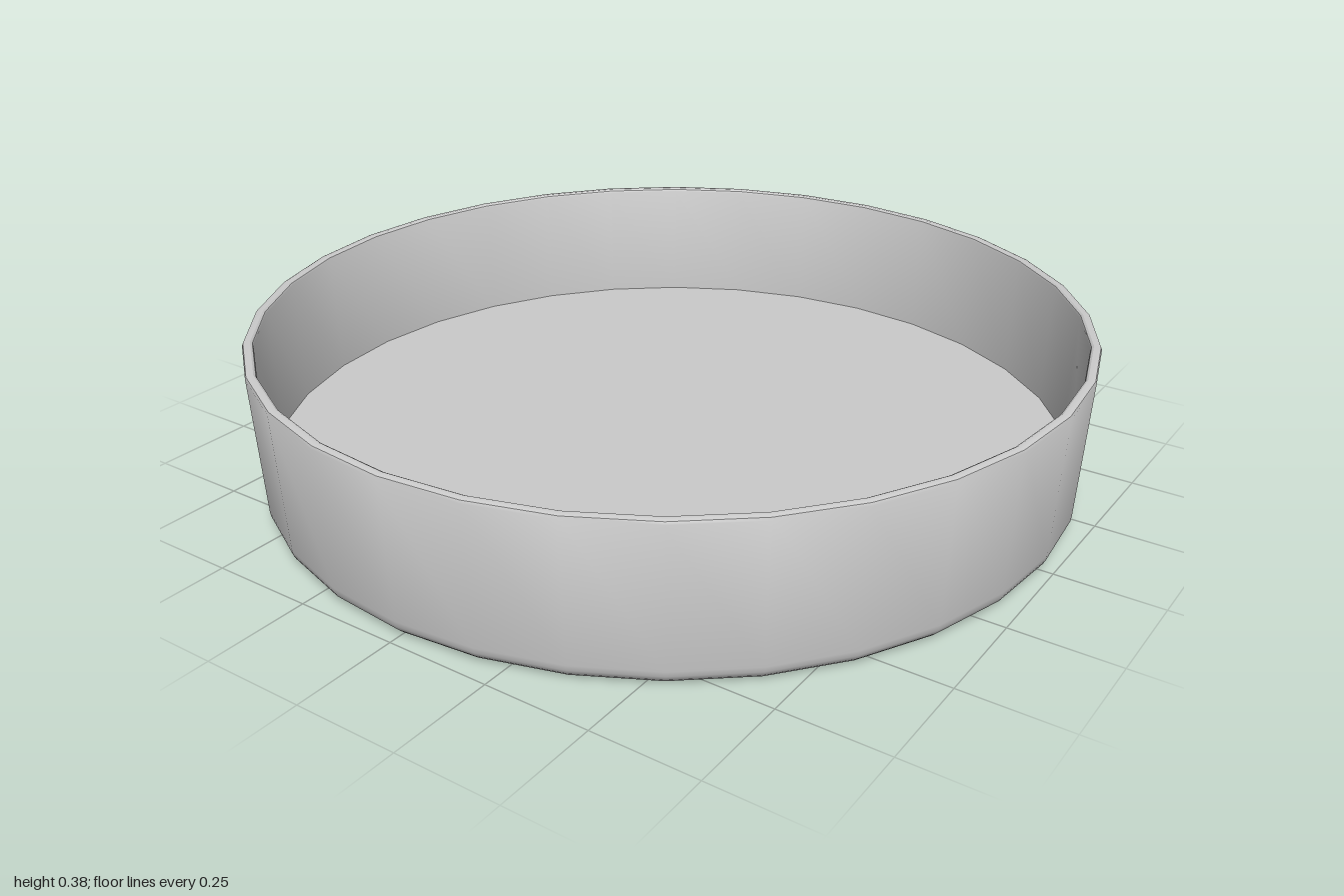
import * as THREE from 'three';
import { toCreasedNormals } from 'three/addons/utils/BufferGeometryUtils.js';

const SEGMENTS = 32;
const HEIGHT = 0.38;

// Outer wall radius at a height: the wall flares slightly towards the rim
const wallRadius = (y) => 0.98 + 0.02 * (y / HEIGHT);

function createDish(material) {
  const profile = [new THREE.Vector2(0, 0)];
  // rounded bottom edge
  const r = 0.04;
  for (let i = 0; i <= 5; i++) {
    const a = (i / 5) * Math.PI / 2;
    profile.push(new THREE.Vector2(wallRadius(r) - r + r * Math.sin(a), r - r * Math.cos(a)));
  }
  // outer wall, softened rim, inner wall, floor
  for (const [x, y] of [
    [wallRadius(HEIGHT - 0.008), HEIGHT - 0.008], [0.997, HEIGHT - 0.002], [0.992, HEIGHT],
    [0.981, HEIGHT], [0.976, HEIGHT - 0.003], [0.974, HEIGHT - 0.008],
    [0.965, 0.07], [0, 0.07],
  ]) profile.push(new THREE.Vector2(x, y));

  const geometry = toCreasedNormals(new THREE.LatheGeometry(profile, SEGMENTS), Math.PI / 6);
  const dish = new THREE.Mesh(geometry, material);
  dish.name = 'dish';
  return dish;
}

// Thin plate that follows the facets at the back of the wall
function createBackPlate(material) {
  const geometry = new THREE.BoxGeometry(0.192, 0.13, 0.006, 3, 1, 1);
  geometry.translate(-0.032, 0.195, 0);
  const p = geometry.attributes.position;
  const slope = Math.tan(Math.PI / SEGMENTS);
  for (let i = 0; i < p.count; i++) {
    p.setZ(i, p.getZ(i) - wallRadius(p.getY(i)) + Math.abs(p.getX(i)) * slope);
  }
  const plate = new THREE.Mesh(toCreasedNormals(geometry, Math.PI / 6), material);
  plate.name = 'backPlate';
  return plate;
}

export function createModel() {
  const material = new THREE.MeshStandardMaterial({ color: 0xcccccc });
  const model = new THREE.Group();
  model.name = 'roundTray';
  model.add(createDish(material), createBackPlate(material));
  return model;
}
